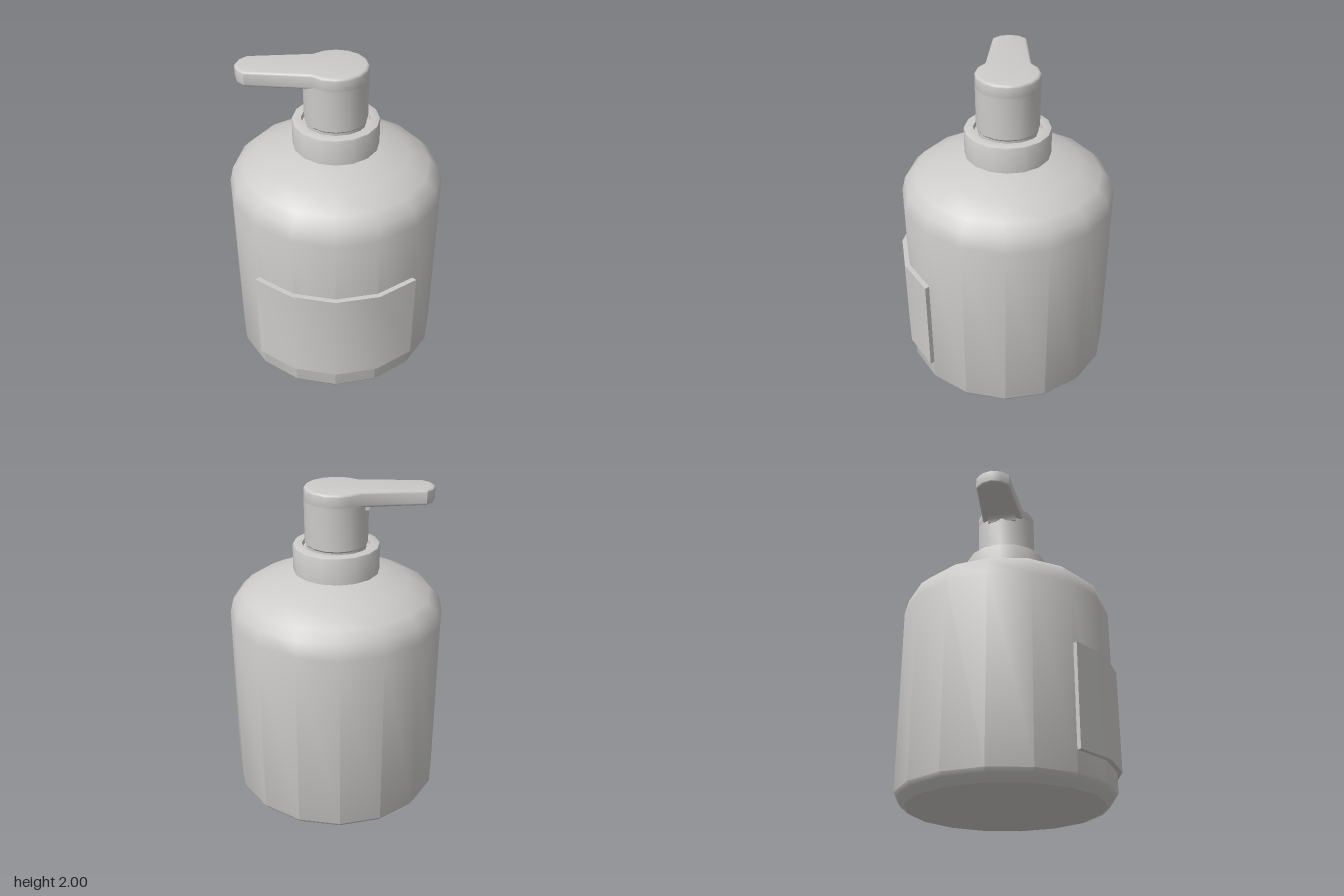
import * as THREE from 'three';
import { toCreasedNormals } from 'three/addons/utils/BufferGeometryUtils.js';

const SIDES = 16;
const CENTER_Z = -0.018;

export function createModel() {
  const group = new THREE.Group();
  const grey = new THREE.MeshStandardMaterial({ color: 0xcccbc9 });
  grey.name = 'light grey';

  const add = (name, geometry, crease = 0.65) => {
    const mesh = new THREE.Mesh(toCreasedNormals(geometry, crease), grey);
    mesh.name = name;
    mesh.position.z = CENTER_Z;
    group.add(mesh);
  };
  const lathe = (points) =>
    new THREE.LatheGeometry(points.map(([r, y]) => new THREE.Vector2(r, y)), SIDES);
  // Extrudes an [x, z] outline upwards from y0 to y1, with an inset rounded edge
  const slab = (outline, y0, y1, bevel = 0) => {
    const shape = new THREE.Shape(outline.map(([x, z]) => new THREE.Vector2(x, -z)));
    return new THREE.ExtrudeGeometry(shape, {
      depth: y1 - y0 - 2 * bevel,
      bevelEnabled: bevel > 0,
      bevelSize: bevel,
      bevelThickness: bevel,
      bevelOffset: -bevel,
      bevelSegments: 3,
    }).rotateX(-Math.PI / 2).translate(0, y0 + bevel, 0);
  };

  // Bottle with chamfered foot and rounded shoulder
  add('bottle', lathe([
    [0, 0], [0.59, 0], [0.635, 0.04], [0.653, 0.065], [0.653, 1.21], [0.63, 1.3],
    [0.57, 1.36], [0.45, 1.422], [0.25, 1.492], [0, 1.5],
  ]));

  // Collar with a narrow groove around the stem
  add('collar', lathe([
    [0.18, 1.49], [0.26, 1.49], [0.26, 1.645], [0.257, 1.652], [0.25, 1.655],
    [0.205, 1.655], [0.2, 1.63], [0.17, 1.63],
  ]));

  // Pump stem
  add('pumpStem', lathe([[0.18, 1.62], [0.18, 1.655], [0.188, 1.665], [0.19, 1.975]]));

  // Pump head: round cap running into a tapering spout on the right
  const head = [];
  for (let i = -6; i <= 6; i++) {
    const a = (i * Math.PI) / 8;
    head.push([0.19 * Math.cos(a), 0.19 * Math.sin(a)]);
  }
  head.push([-0.51, 0.105], [-0.552, 0.062], [-0.57, 0], [-0.552, -0.062], [-0.51, -0.105]);
  add('pumpHead', slab(head, 1.91, 2, 0.015));

  // Small fillet under the spout
  const fillet = new THREE.Shape();
  fillet.moveTo(-0.15, 1.92);
  fillet.lineTo(-0.21, 1.92);
  fillet.lineTo(-0.205, 1.91);
  fillet.lineTo(-0.19, 1.9);
  fillet.lineTo(-0.182, 1.88);
  fillet.lineTo(-0.15, 1.88);
  add('spoutFillet', new THREE.ExtrudeGeometry(fillet, { depth: 0.18, bevelEnabled: false })
    .translate(0, 0, -0.09));

  // Raised label wrapped around the front
  const arc = (r) => [-2, -1, 0, 1, 2].map((i) => {
    const a = (i * Math.PI) / 8;
    return [r * Math.sin(a), r * Math.cos(a)];
  });
  add('label', slab([...arc(0.683), ...arc(0.65).reverse()], 0.19, 0.815));

  return group;
}
